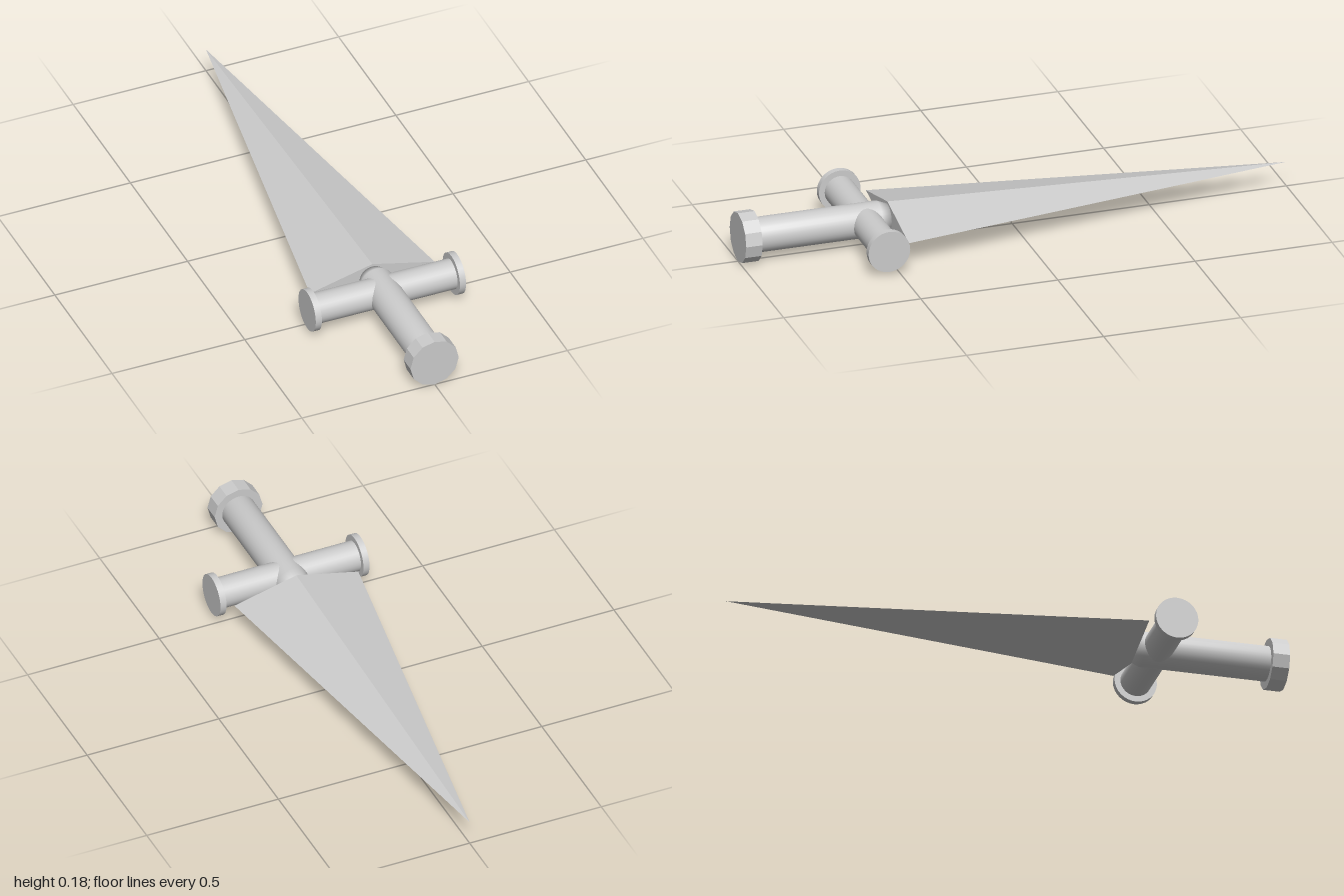
import * as THREE from 'three';

const AXIS_Y = 0.091; // height of the sword's long axis
const GUARD_Z = 0.542;

export function createModel() {
  const sword = new THREE.Group();
  sword.name = 'sword';
  const smooth = new THREE.MeshStandardMaterial({ color: 0xcccccc });
  const faceted = new THREE.MeshStandardMaterial({ color: 0xcccccc, flatShading: true });

  const add = (name, geometry, material, x, z) => {
    const mesh = new THREE.Mesh(geometry, material);
    mesh.name = name;
    mesh.position.set(x, AXIS_Y, z);
    sword.add(mesh);
  };

  // Blade: four-sided cone flattened to a diamond section, tip towards -z
  const blade = new THREE.ConeGeometry(1, 1.455, 4);
  blade.rotateX(-Math.PI / 2);
  blade.scale(0.235, 0.058, 1);
  add('blade', blade, faceted, 0, -0.2725);

  // Grip: round bar narrowing where it meets the blade
  const gripProfile = [[0, -0.96], [0.062, -0.96], [0.062, -0.49], [0.048, -0.455], [0, -0.45]]
    .map(([r, z]) => new THREE.Vector2(r, z));
  const grip = new THREE.LatheGeometry(gripProfile, 32);
  grip.rotateX(-Math.PI / 2);
  add('grip', grip, smooth, 0, 0);

  // Pommel: twelve-sided block at the end of the grip
  const pommel = new THREE.CylinderGeometry(0.091, 0.091, 0.06, 12);
  pommel.rotateX(Math.PI / 2);
  add('pommel', pommel, faceted, 0, 0.97);

  // Crossguard with a disc on each end
  const guard = new THREE.CylinderGeometry(0.055, 0.055, 0.53, 32);
  guard.rotateZ(Math.PI / 2);
  add('crossguard', guard, smooth, 0, GUARD_Z);

  for (const side of [1, -1]) {
    const disc = new THREE.CylinderGeometry(0.076, 0.076, 0.023, 32);
    disc.rotateZ(Math.PI / 2);
    add(side > 0 ? 'leftGuardDisc' : 'rightGuardDisc', disc, smooth, side * 0.2715, GUARD_Z);
  }

  return sword;
}
